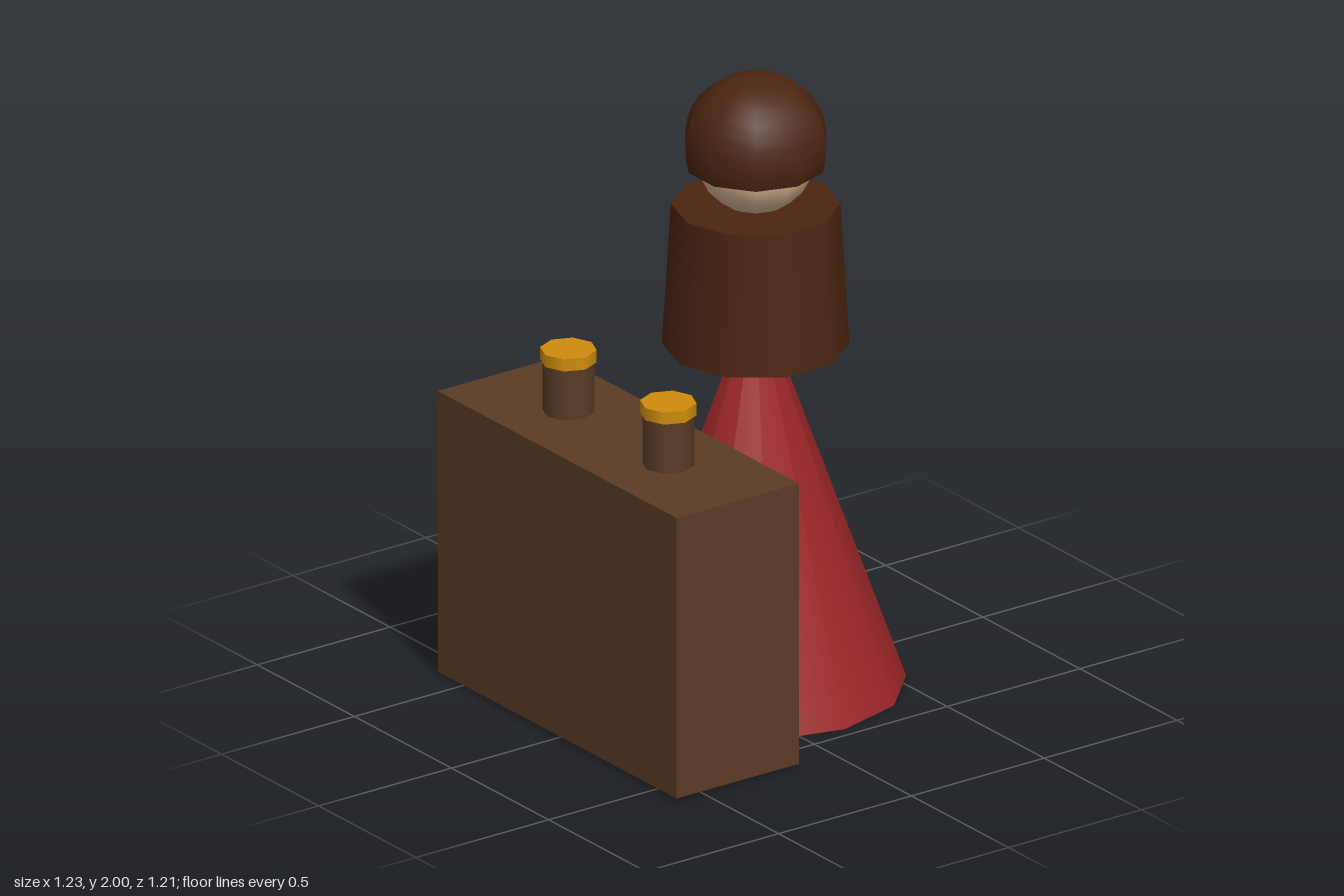
import * as THREE from 'three';

export function createModel() {
  const group = new THREE.Group();
  const mat = (name, color, side = THREE.FrontSide) => {
    const m = new THREE.MeshStandardMaterial({ color, side });
    m.name = name;
    return m;
  };
  const red = mat('dress red', 0x9b2628);
  const brown = mat('dark brown', 0x4c2510, THREE.DoubleSide);
  const wood = mat('counter wood', 0x5a3c24);
  const gold = mat('amber gold', 0xd08c0e);
  const skin = mat('skin', 0xdeb894);

  const add = (name, geometry, material, x, y, z) => {
    const mesh = new THREE.Mesh(geometry, material);
    mesh.name = name;
    mesh.position.set(x, y, z);
    group.add(mesh);
  };
  // Cylinder standing between two heights
  const column = (name, rTop, rBottom, y0, y1, sides, material, x, z) =>
    add(name, new THREE.CylinderGeometry(rTop, rBottom, y1 - y0, sides), material, x, (y0 + y1) / 2, z);

  // Figure
  const zFigure = -0.145;
  add('skirt', new THREE.ConeGeometry(0.46, 1.3, 12), red, 0, 0.65, zFigure);
  column('cape', 0.258, 0.285, 1.117, 1.577, 10, brown, 0, zFigure);
  add('head', new THREE.SphereGeometry(0.185, 10, 10), skin, 0, 1.742, zFigure);
  // Open cap of hair reaching a little below the widest line
  add('hair', new THREE.SphereGeometry(0.225, 10, 10, 0, Math.PI * 2, 0, Math.PI * 0.6), brown, 0, 1.775, zFigure);

  // Counter with two capped jars
  add('counter', new THREE.BoxGeometry(1.23, 0.925, 0.46), wood, 0, 0.4725, 0.372);
  for (const side of [-1, 1]) {
    column('jar', 0.08, 0.08, 0.93, 1.102, 8, wood, side * 0.257, 0.372);
    column('jarLid', 0.087, 0.087, 1.1, 1.14, 8, gold, side * 0.257, 0.372);
  }
  return group;
}
